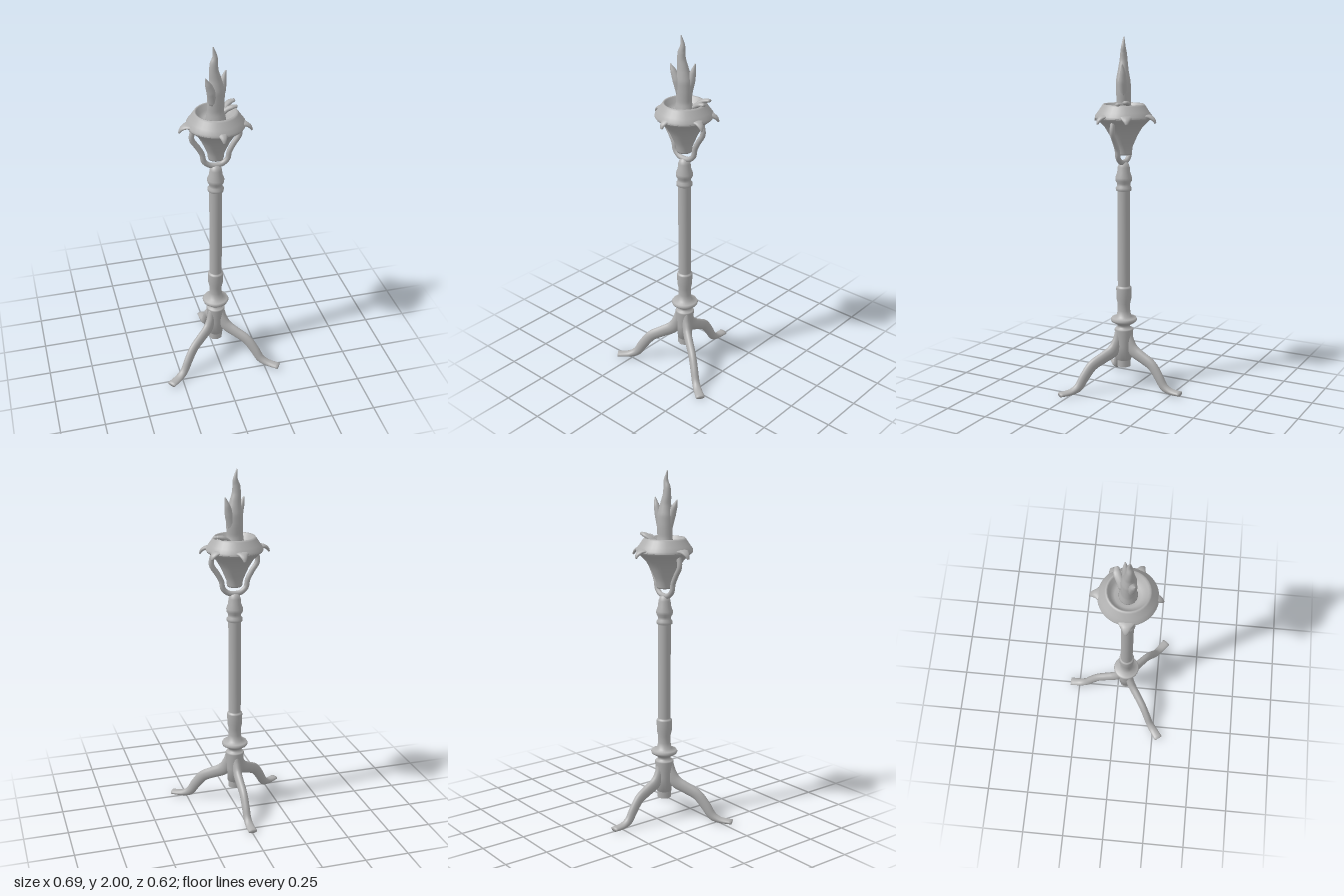
import * as THREE from 'three';

const iron = new THREE.MeshStandardMaterial({ color: 0xb0b0b0, side: THREE.DoubleSide });
iron.name = 'grey iron';

const AXIS_Z = 0.053; // the stand's axis

function add(parent, name, geometry) {
  const mesh = new THREE.Mesh(geometry, iron);
  mesh.name = name;
  parent.add(mesh);
  return mesh;
}

// Smooth body along stations [x, y, z, halfWidth, halfDepth]; widths run along `side`
function sweep(stations, side, steps = 32, sides = 14) {
  const curve = new THREE.CatmullRomCurve3(stations.map(s => new THREE.Vector3(s[0], s[1], s[2])));
  const pos = [], index = [], n = stations.length - 1;
  const ring = (t, scale) => {
    const p = curve.getPoint(t), T = curve.getTangent(t);
    const S = side.clone().addScaledVector(T, -side.dot(T)).normalize();
    const N = T.clone().cross(S);
    const i = Math.min(n - 1, Math.floor(t * n)), f = t * n - i;
    const a = THREE.MathUtils.lerp(stations[i][3], stations[i + 1][3], f) * scale;
    const b = THREE.MathUtils.lerp(stations[i][4], stations[i + 1][4], f) * scale;
    for (let k = 0; k < sides; k++) {
      const ang = k / sides * Math.PI * 2;
      const v = p.clone().addScaledVector(S, Math.cos(ang) * a).addScaledVector(N, Math.sin(ang) * b);
      pos.push(v.x, v.y, v.z);
    }
  };
  ring(0, 0.001);
  for (let j = 0; j <= steps; j++) ring(j / steps, 1);
  ring(1, 0.001);
  for (let j = 0; j < steps + 2; j++) {
    for (let k = 0; k < sides; k++) {
      const a = j * sides + k, b = j * sides + (k + 1) % sides;
      index.push(a, b, b + sides, a, b + sides, a + sides);
    }
  }
  const g = new THREE.BufferGeometry();
  g.setAttribute('position', new THREE.Float32BufferAttribute(pos, 3));
  g.setIndex(index);
  g.computeVertexNormals();
  return g;
}

const lathe = (profile, segments = 32) =>
  new THREE.LatheGeometry(profile.map(p => new THREE.Vector2(p[0], p[1])), segments);

const X = new THREE.Vector3(1, 0, 0), Z = new THREE.Vector3(0, 0, 1);

export function createModel() {
  const root = new THREE.Group();
  root.name = 'torchStand';
  const stand = new THREE.Group();
  stand.name = 'stand';
  stand.position.z = AXIS_Z;
  root.add(stand);

  // Bottom nut and turned column
  add(stand, 'bottomNut', new THREE.CylinderGeometry(0.04, 0.04, 0.05, 8)).position.y = 0.15;
  add(stand, 'column', lathe([
    [0, 0.16], [0.042, 0.165], [0.046, 0.25], [0.054, 0.345], [0.05, 0.352], [0.036, 0.357],
    [0.036, 0.372], [0.052, 0.382], [0.072, 0.395], [0.076, 0.405], [0.07, 0.416], [0.042, 0.422],
    [0.036, 0.46], [0.036, 0.5], [0.043, 0.53], [0.044, 0.59], [0.042, 0.597], [0.035, 0.6],
    [0.035, 0.605], [0.036, 1.15], [0.044, 1.155], [0.045, 1.17], [0.037, 1.18], [0.037, 1.195],
    [0.046, 1.21], [0.047, 1.228], [0.037, 1.255], [0.034, 1.285], [0.026, 1.308], [0, 1.322]
  ]));

  // Three cabriole legs
  const legs = [['leftLeg', -0.63, 1], ['rightLeg', Math.PI + 0.63, 1], ['backLeg', Math.PI / 2, 0.89]];
  for (const [name, angle, length] of legs) {
    const leg = add(stand, name, sweep([
      [0.03, 0.345, 0, 0.02, 0.022], [0.042, 0.28, 0, 0.023, 0.03], [0.07, 0.225, 0, 0.024, 0.038],
      [0.13, 0.192, 0, 0.023, 0.034], [0.2, 0.155, 0, 0.022, 0.032], [0.25, 0.095, 0, 0.022, 0.03],
      [0.29, 0.038, 0, 0.022, 0.026], [0.335, 0.018, 0, 0.024, 0.017], [0.405, 0.013, 0, 0.026, 0.012]
    ], Z, 40, 16));
    leg.scale.x = length;
    leg.rotation.y = angle;
  }

  // U-shaped yoke that carries the bowl
  const half = [[0.118, 1.56], [0.132, 1.49], [0.1, 1.435], [0.076, 1.39], [0.066, 1.345], [0.036, 1.318]];
  const yoke = [
    ...half.map(([x, y]) => [-x, y, 0, 0.014, 0.015]),
    [0, 1.312, 0, 0.015, 0.015],
    ...half.slice().reverse().map(([x, y]) => [x, y, 0, 0.014, 0.015])
  ];
  add(stand, 'yoke', sweep(yoke, Z, 60, 12));

  // Bowl: flared cup, collar and hollow inside
  add(stand, 'bowlCup', lathe([
    [0, 1.355], [0.04, 1.356], [0.043, 1.365], [0.046, 1.39], [0.058, 1.42], [0.078, 1.465],
    [0.105, 1.51], [0.14, 1.545], [0.154, 1.555], [0.158, 1.565]
  ]));
  add(stand, 'bowlCollar', lathe([
    [0.158, 1.562], [0.157, 1.575], [0.142, 1.595], [0.12, 1.628], [0.113, 1.637], [0.104, 1.634],
    [0.092, 1.605], [0.07, 1.588], [0, 1.585]
  ]));

  // Drooping leaves round the rim: direction by tip position
  for (const [x, z, w] of [[0, -0.196, 0.05], [0, 0.18, 0.05], [-0.2, 0.005, 0.055], [0.155, -0.1, 0.06], [0.18, 0.065, 0.045]]) {
    const r = Math.hypot(x, z);
    const leaf = add(stand, 'rimLeaf', sweep([
      [0.1, 1.57, 0, w * 1.2, 0.008], [0.135, 1.574, 0, w, 0.011], [r - 0.03, 1.57, 0, w * 0.5, 0.011],
      [r - 0.01, 1.556, 0, w * 0.3, 0.009], [r, 1.538, 0, 0.006, 0.005]
    ], Z, 16, 12));
    leaf.rotation.y = Math.atan2(-z, x);
  }

  // Flame with two side tongues
  add(stand, 'flame', sweep([
    [0, 1.585, 0, 0.056, 0.05], [-0.002, 1.64, 0, 0.046, 0.038], [0, 1.7, 0, 0.047, 0.04],
    [0, 1.76, 0.002, 0.046, 0.04], [-0.004, 1.82, 0.004, 0.032, 0.029], [-0.012, 1.87, 0.006, 0.025, 0.022],
    [-0.012, 1.91, 0.006, 0.022, 0.018], [-0.006, 1.945, 0.004, 0.014, 0.013], [-0.016, 2.0, 0.006, 0.003, 0.003]
  ], X, 44, 16));
  add(stand, 'flameTongueRight', sweep([
    [-0.015, 1.69, 0.01, 0.028, 0.025], [-0.03, 1.76, 0.022, 0.026, 0.025],
    [-0.05, 1.81, 0.03, 0.016, 0.016], [-0.064, 1.845, 0.036, 0.003, 0.003]
  ], X, 20, 12));
  add(stand, 'flameTongueLeft', sweep([
    [0.015, 1.69, -0.008, 0.028, 0.025], [0.034, 1.76, -0.014, 0.025, 0.022],
    [0.046, 1.81, -0.02, 0.016, 0.016], [0.058, 1.855, -0.022, 0.003, 0.003]
  ], X, 20, 12));

  // Two small licks spilling over the collar
  add(stand, 'backLick', sweep([
    [0.03, 1.6, -0.03, 0.022, 0.014], [0.06, 1.63, -0.05, 0.021, 0.014],
    [0.09, 1.648, -0.066, 0.021, 0.013], [0.12, 1.655, -0.07, 0.012, 0.008]
  ], Z, 16, 12));
  add(stand, 'frontLick', sweep([
    [0.03, 1.6, -0.02, 0.018, 0.014], [0.065, 1.625, -0.026, 0.016, 0.013],
    [0.095, 1.638, -0.024, 0.017, 0.012], [0.122, 1.642, -0.022, 0.01, 0.008]
  ], Z, 16, 12));

  return root;
}
